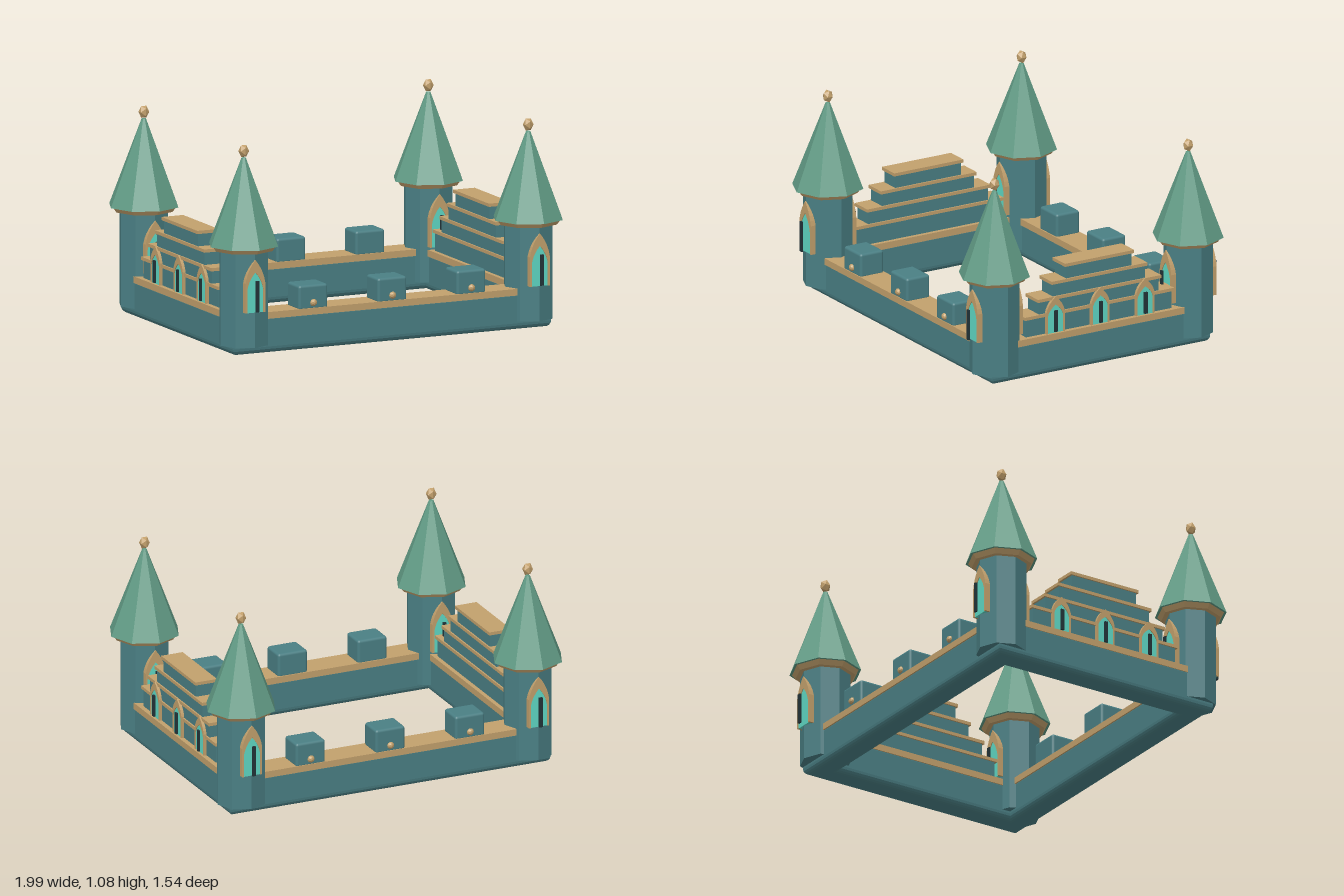
import * as THREE from 'three';
import { RoundedBoxGeometry } from 'three/addons/geometries/RoundedBoxGeometry.js';

const paint = (color, flatShading = true) => new THREE.MeshStandardMaterial({ color, flatShading });
const stone = paint(0x4a7f84), smoothStone = paint(0x4a7f84, false), roofTile = paint(0x629c86);
const gold = paint(0xc2a06c), glass = paint(0x5fd8c4), dark = paint(0x223338);

const TX = 0.81, TZ = 0.583; // tower centres

function add(parent, name, geometry, material, x = 0, y = 0, z = 0) {
  const mesh = new THREE.Mesh(geometry, material);
  mesh.name = name;
  mesh.position.set(x, y, z);
  parent.add(mesh);
  return mesh;
}

// Box given by its lower face height and upper face height
function slab(parent, name, material, w, y0, y1, d, x = 0, z = 0) {
  return add(parent, name, new THREE.BoxGeometry(w, y1 - y0, d), material, x, (y0 + y1) / 2, z);
}

const rect = (Type, x, z) => new Type([[-x, -z], [x, -z], [x, z], [-x, z]].map((p) => new THREE.Vector2(...p)));

// Pointed arch outline from bottom right, over the apex, to bottom left
function archPoints(w, spring, apex) {
  const path = new THREE.Path();
  const cy = spring + (apex - spring) * 0.55;
  path.moveTo(w, 0);
  path.lineTo(w, spring);
  path.quadraticCurveTo(w * 0.82, cy, 0, apex);
  path.quadraticCurveTo(-w * 0.82, cy, -w, spring);
  path.lineTo(-w, 0);
  return path.getPoints(5);
}

// Window facing +z; z = 0 is the front of the frame
function makeWindow({ outer, inner, bar, barOut }) {
  const g = new THREE.Group();
  g.name = 'archedWindow';
  const hole = archPoints(...inner);
  const frame = new THREE.Shape([...archPoints(...outer), ...hole.slice().reverse()]);
  const options = (depth) => ({ depth, bevelEnabled: false });
  add(g, 'windowFrame', new THREE.ExtrudeGeometry(frame, options(0.035)), gold, 0, 0, -0.035);
  add(g, 'windowGlass', new THREE.ExtrudeGeometry(new THREE.Shape(hole), options(0.03)), glass, 0, 0, -0.034);
  add(g, 'windowBar', new THREE.BoxGeometry(0.018, bar, 0.01), dark, 0, 0.007 + bar / 2, barOut);
  return g;
}

function makeTower() {
  const g = new THREE.Group();
  g.name = 'cornerTower';
  add(g, 'towerShaft', new THREE.CylinderGeometry(0.131, 0.131, 0.5, 8), stone, 0, 0.295, 0);
  add(g, 'towerCollar', new THREE.CylinderGeometry(0.174, 0.156, 0.025, 8), gold, 0, 0.55, 0);
  add(g, 'towerRoof', new THREE.CylinderGeometry(0.012, 0.187, 0.453, 8), roofTile, 0, 0.7885, 0);
  add(g, 'finial', new THREE.IcosahedronGeometry(0.028, 0), gold, 0, 1.05, 0).scale.y = 1.28;
  for (const s of [1, -1]) {
    const w = makeWindow({ outer: [0.056, 0.155, 0.275], inner: [0.046, 0.12, 0.21], bar: 0.162, barOut: 0.022 });
    w.position.set(0, 0.23, s * 0.137);
    if (s < 0) w.rotation.y = Math.PI;
    g.add(w);
  }
  return g;
}

// Stepped gable on a side wall, outside facing +x
function makeGable() {
  const g = new THREE.Group();
  g.name = 'steppedGable';
  const tiers = [[0.438, 0.325], [0.36, 0.408], [0.277, 0.491], [0.197, 0.574]];
  let base = 0.212;
  for (const [half, top] of tiers) {
    slab(g, 'gableTier', stone, 0.106, base, top - 0.016, half * 2, 0.83);
    slab(g, 'gableLedge', gold, 0.122, top - 0.017, top, half * 2 + 0.022, 0.83);
    base = top;
  }
  for (const z of [-0.27, 0, 0.27]) {
    const w = makeWindow({ outer: [0.055, 0.115, 0.195], inner: [0.046, 0.095, 0.152], bar: 0.115, barOut: 0.004 });
    w.position.set(0.899, 0.215, z);
    w.rotation.y = Math.PI / 2;
    g.add(w);
  }
  return g;
}

export function createModel() {
  const model = new THREE.Group();
  model.name = 'castleCourt';

  // Ring of outer walls with rounded lower edges; the upper bevel hides in the caps
  const ring = rect(THREE.Shape, 0.905, 0.657);
  ring.holes.push(rect(THREE.Path, 0.759, 0.521));
  const wall = new THREE.ExtrudeGeometry(ring, {
    depth: 0.142, bevelThickness: 0.034, bevelSize: 0.028, bevelOffset: -0.028, bevelSegments: 4,
  });
  wall.rotateX(-Math.PI / 2);
  add(model, 'outerWall', wall, stone, 0, 0.034, 0);

  for (const s of [1, -1]) {
    // Wall caps
    slab(model, 'longWallCap', gold, 1.42, 0.18, 0.215, 0.15, 0, s * 0.589);
    slab(model, 'sideWallCap', gold, 0.155, 0.18, 0.215, 1.0, s * 0.8315, 0);

    // Battlements with round studs
    for (const x of [-0.45, 0, 0.45]) {
      add(model, 'battlement', new RoundedBoxGeometry(0.166, 0.13, 0.14, 2, 0.014), smoothStone, x, 0.27, s * 0.59);
      add(model, 'stud', new THREE.IcosahedronGeometry(0.02, 1), gold, x, 0.242, s * 0.657);
    }

    const gable = makeGable();
    if (s < 0) gable.rotation.y = Math.PI;
    model.add(gable);

    for (const t of [1, -1]) {
      const tower = makeTower();
      tower.position.set(s * TX, 0, t * TZ);
      model.add(tower);
    }
  }
  return model;
}
